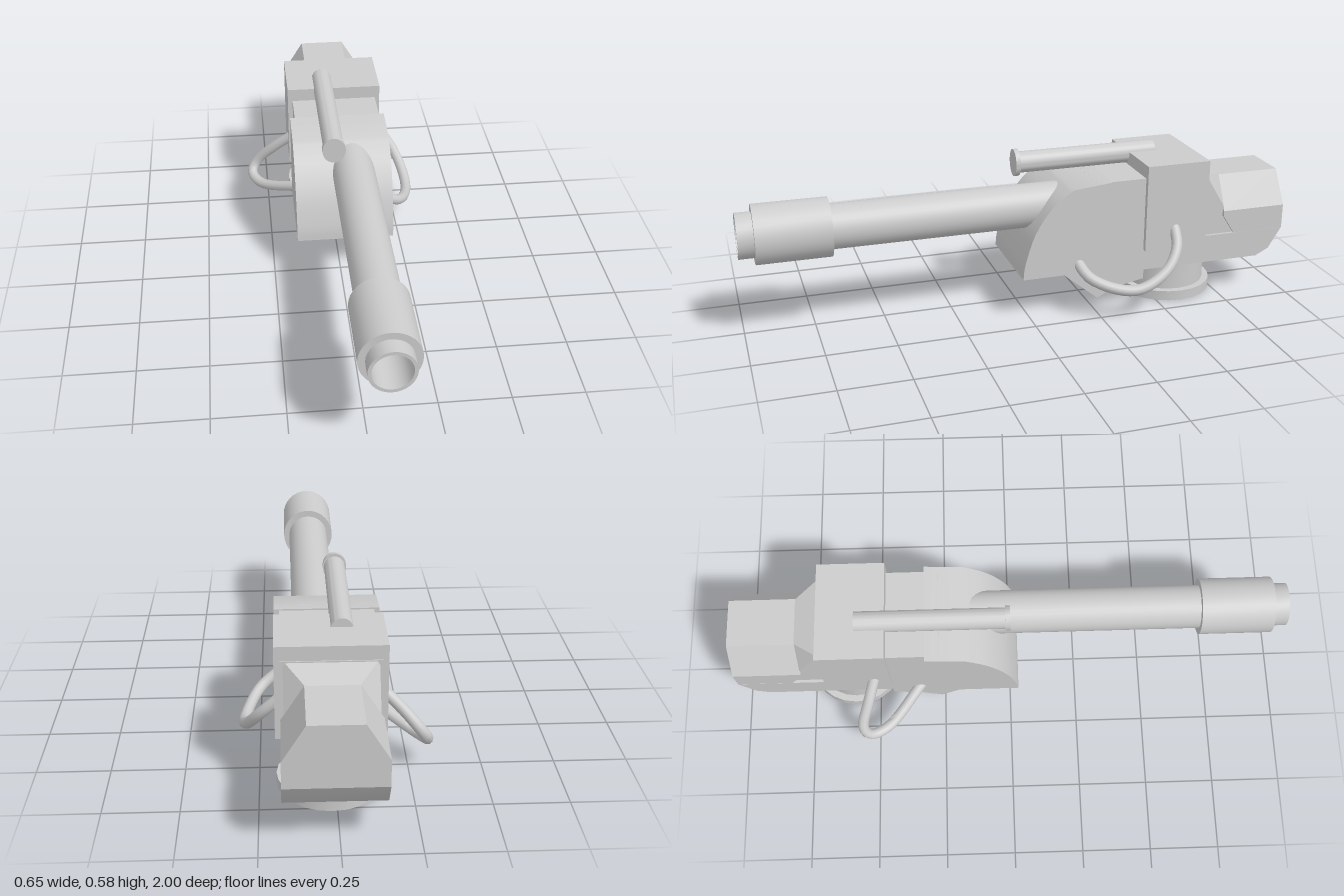
import * as THREE from 'three';
import { toCreasedNormals } from 'three/addons/utils/BufferGeometryUtils.js';
import { ConvexGeometry } from 'three/addons/geometries/ConvexGeometry.js';

const CX = 0.0165; // centre line of the turret body

export function createModel() {
  const model = new THREE.Group();
  const material = new THREE.MeshStandardMaterial({ color: 0xcccccc });

  function add(name, geometry, crease = 0.6) {
    const mesh = new THREE.Mesh(toCreasedNormals(geometry, crease), material);
    mesh.name = name;
    model.add(mesh);
    return mesh;
  }

  // Side outline of [z, y] points, extruded across x about the centre line
  function slab(name, points, width) {
    const shape = new THREE.Shape(points.map(([z, y]) => new THREE.Vector2(-z, y)));
    const geometry = new THREE.ExtrudeGeometry(shape, { depth: width, bevelEnabled: false });
    geometry.translate(0, 0, -width / 2).rotateY(Math.PI / 2).translate(CX, 0, 0);
    return add(name, geometry);
  }

  // Round part along z from [radius, z] points, slightly oval
  function turned(name, points, x, y, squash) {
    const geometry = new THREE.LatheGeometry(points.map(([r, z]) => new THREE.Vector2(r, z)), 32);
    geometry.rotateX(Math.PI / 2).scale(squash, 1, 1).translate(x, y, 0);
    return add(name, geometry);
  }

  // Base plate and neck
  add('basePlate', new THREE.CylinderGeometry(0.177, 0.177, 0.037, 24).translate(CX, 0.0185, -0.59));
  add('baseNeck', new THREE.CylinderGeometry(0.152, 0.152, 0.16, 24).translate(CX, 0.11, -0.59));

  // Inner hull with the wedge under the front
  slab('hull', [
    [-0.1, 0.18], [-0.12, 0.16], [-0.26, 0.045], [-0.33, 0.08], [-0.44, 0.1], [-0.44, 0.135],
    [-0.9, 0.135], [-0.95, 0.16], [-1, 0.24], [-0.68, 0.24], [-0.68, 0.49], [-0.25, 0.49],
  ], 0.321);

  // Curved front shield
  const curve = new THREE.SplineCurve([
    [0.03, 0.16], [0.022, 0.22], [-0.015, 0.33], [-0.08, 0.425], [-0.155, 0.48],
  ].map(([z, y]) => new THREE.Vector2(z, y)));
  slab('frontShield', [
    ...curve.getPoints(16).map((p) => [p.x, p.y]), [-0.3, 0.495], [-0.3, 0.16],
  ], 0.357);

  // Box housing across the middle
  add('middleHousing', new THREE.BoxGeometry(0.357, 0.324, 0.24).translate(CX, 0.377, -0.556));

  // Bevelled rear counterweight and the taper leading into it
  const corners = [];
  const taper = [];
  for (const s of [-1, 1]) {
    for (const [w, y, front] of [[0.086, 0.45, -0.755], [0.16, 0.33, -0.755], [0.16, 0.31, -0.755], [0.16, 0.24, -0.8]]) {
      corners.push(new THREE.Vector3(CX + s * w, y, front), new THREE.Vector3(CX + s * w, y, -1));
    }
    for (const [w, y, z] of [
      [0.15, 0.49, -0.67], [0.15, 0.2, -0.67], [0.083, 0.449, -0.765], [0.15, 0.335, -0.765], [0.15, 0.2, -0.82],
    ]) taper.push(new THREE.Vector3(CX + s * w, y, z));
  }
  add('rearTaper', new ConvexGeometry(taper), 0.1);
  add('rearCounterweight', new ConvexGeometry(corners), 0.1);

  // Gun barrel, muzzle sleeve and open muzzle with bore
  turned('barrel', [[0, -0.28], [0.08, -0.28], [0.08, 0.7]], 0.055, 0.39, 0.97);
  turned('muzzle', [
    [0.07, 0.685], [0.105, 0.685], [0.105, 0.945], [0.08, 0.945], [0.08, 1],
    [0.068, 1], [0.068, 0.6], [0, 0.56],
  ], 0.055, 0.39, 0.95);

  // Sight tube with its front lens rim
  turned('sightTube', [[0, -0.54], [0.039, -0.54], [0.039, -0.005], [0, -0.005]], -0.023, 0.53, 0.95);
  turned('sightRim', [[0, -0.015], [0.05, -0.015], [0.05, 0.002], [0, 0.002]], -0.023, 0.53, 0.84);

  // Cables looping out on each side
  const cables = {
    leftCable: [[0.15, 0.22, -0.17], [0.245, 0.155, -0.21], [0.3, 0.115, -0.36],
      [0.285, 0.165, -0.48], [0.24, 0.235, -0.54], [0.17, 0.305, -0.555]],
    rightCable: [[-0.13, 0.315, -0.485], [-0.22, 0.235, -0.52], [-0.295, 0.15, -0.548],
      [-0.312, 0.115, -0.525], [-0.28, 0.103, -0.46], [-0.12, 0.165, -0.32]],
  };
  for (const [name, points] of Object.entries(cables)) {
    const path = new THREE.CatmullRomCurve3(points.map((p) => new THREE.Vector3(...p)));
    add(name, new THREE.TubeGeometry(path, 28, 0.02, 10), 1.2);
  }

  return model;
}
